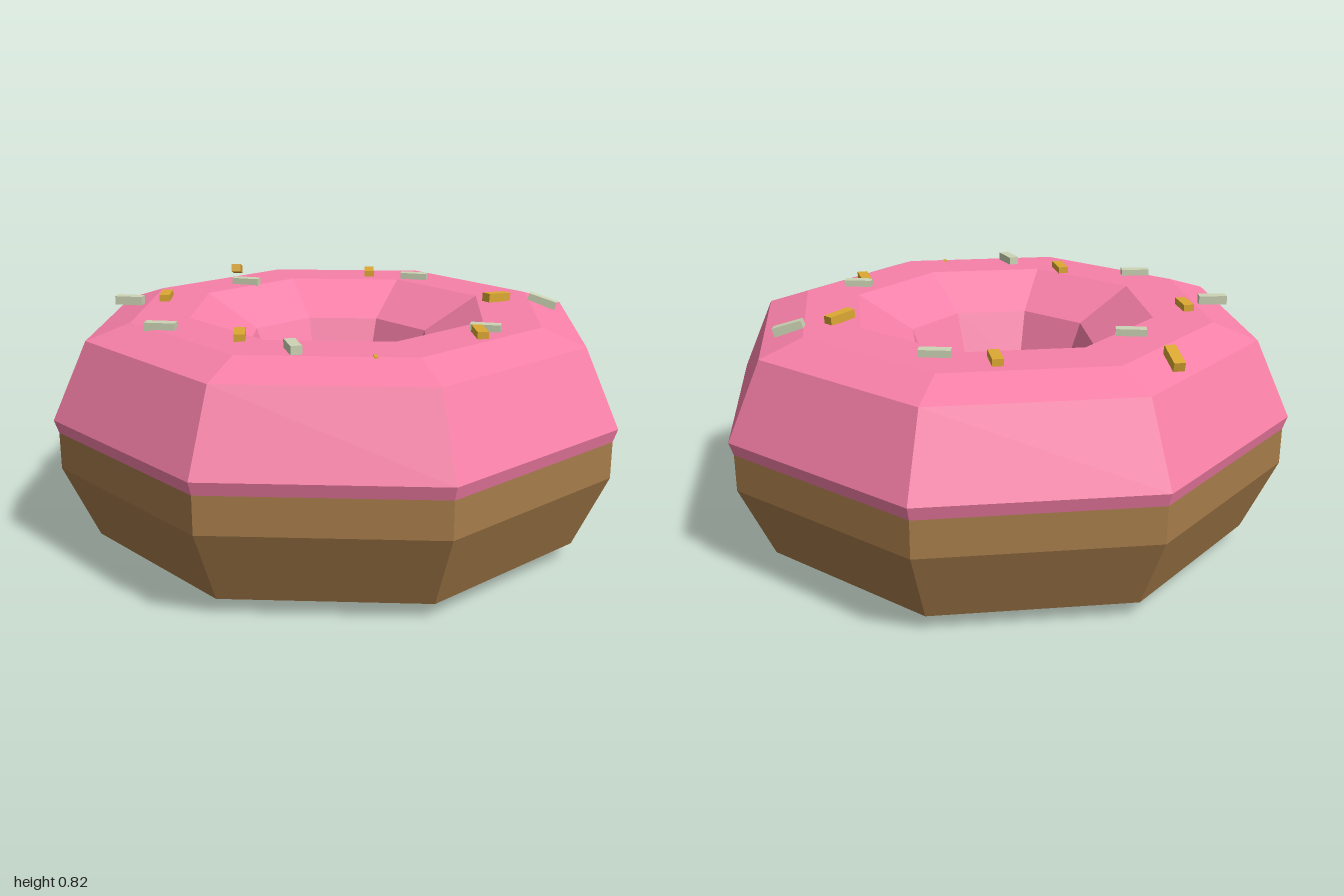
import * as THREE from 'three';

const mat = (color) => new THREE.MeshStandardMaterial({ color, flatShading: true });

// Eight-sided ring turned from a profile of [radius, height]
function ring(name, profile, material) {
  const points = profile.map(([r, y]) => new THREE.Vector2(r, y));
  const mesh = new THREE.Mesh(new THREE.LatheGeometry(points, 8), material);
  mesh.name = name;
  return mesh;
}

// Small bar laid between two points given as [x, y, z]
function sprinkle(a, b, material) {
  const from = new THREE.Vector3(...a), to = new THREE.Vector3(...b);
  const mesh = new THREE.Mesh(new THREE.BoxGeometry(0.036, 0.03, from.distanceTo(to)), material);
  mesh.position.copy(from).lerp(to, 0.5);
  mesh.lookAt(to);
  mesh.name = 'sprinkle';
  return mesh;
}

export function createModel() {
  const model = new THREE.Group();
  model.name = 'donut';

  // Dough: from the hole wall, under the base and up the outside
  model.add(ring('dough', [
    [0.26, 0.41], [0.26, 0.31], [0.33, 0.11], [0.53, 0], [0.73, 0],
    [0.87, 0.055], [0.985, 0.31], [0.985, 0.435],
  ], mat(0xa67c4a)));

  // Icing: over the top and down into the hole
  model.add(ring('icing', [
    [0.985, 0.435], [1, 0.48], [0.88, 0.74], [0.73, 0.79],
    [0.53, 0.79], [0.33, 0.677], [0.255, 0.48], [0.26, 0.41],
  ], mat(0xf880a8)));

  // Sprinkles: x, z of both ends, then heights of both ends
  const Y = 0.798;
  const sets = {
    yellowSprinkles: [0xdca832, [
      [-0.18, -0.72, 0.81, -0.147, -0.815, 0.785],
      [0.292, -0.463, Y, 0.325, -0.553, Y],
      [-0.557, -0.285, Y, -0.525, -0.376, Y],
      [0.51, 0.122, 0.81, 0.607, 0.092, 0.802],
      [-0.457, 0.368, Y, -0.428, 0.272, Y],
      [0.268, 0.592, Y, 0.293, 0.495, Y],
      [-0.13, 0.665, 0.778, -0.04, 0.69, 0.755],
    ]],
    paleSprinkles: [0xccd4b4, [
      [-0.24, -0.522, Y, -0.157, -0.465, Y],
      [0.402, -0.4, Y, 0.486, -0.343, Y],
      [-0.717, -0.34, Y, -0.632, -0.293, Y],
      [-0.697, 0.096, Y, -0.607, 0.143, Y],
      [0.685, 0.112, 0.8, 0.768, 0.165, 0.77],
      [-0.331, 0.482, 0.803, -0.338, 0.578, 0.803],
      [0.284, 0.466, Y, 0.367, 0.519, Y],
    ]],
  };
  for (const [name, [color, bars]] of Object.entries(sets)) {
    const group = new THREE.Group();
    group.name = name;
    const material = mat(color);
    for (const [x1, z1, y1, x2, z2, y2] of bars) {
      group.add(sprinkle([x1, y1, z1], [x2, y2, z2], material));
    }
    model.add(group);
  }
  return model;
}
